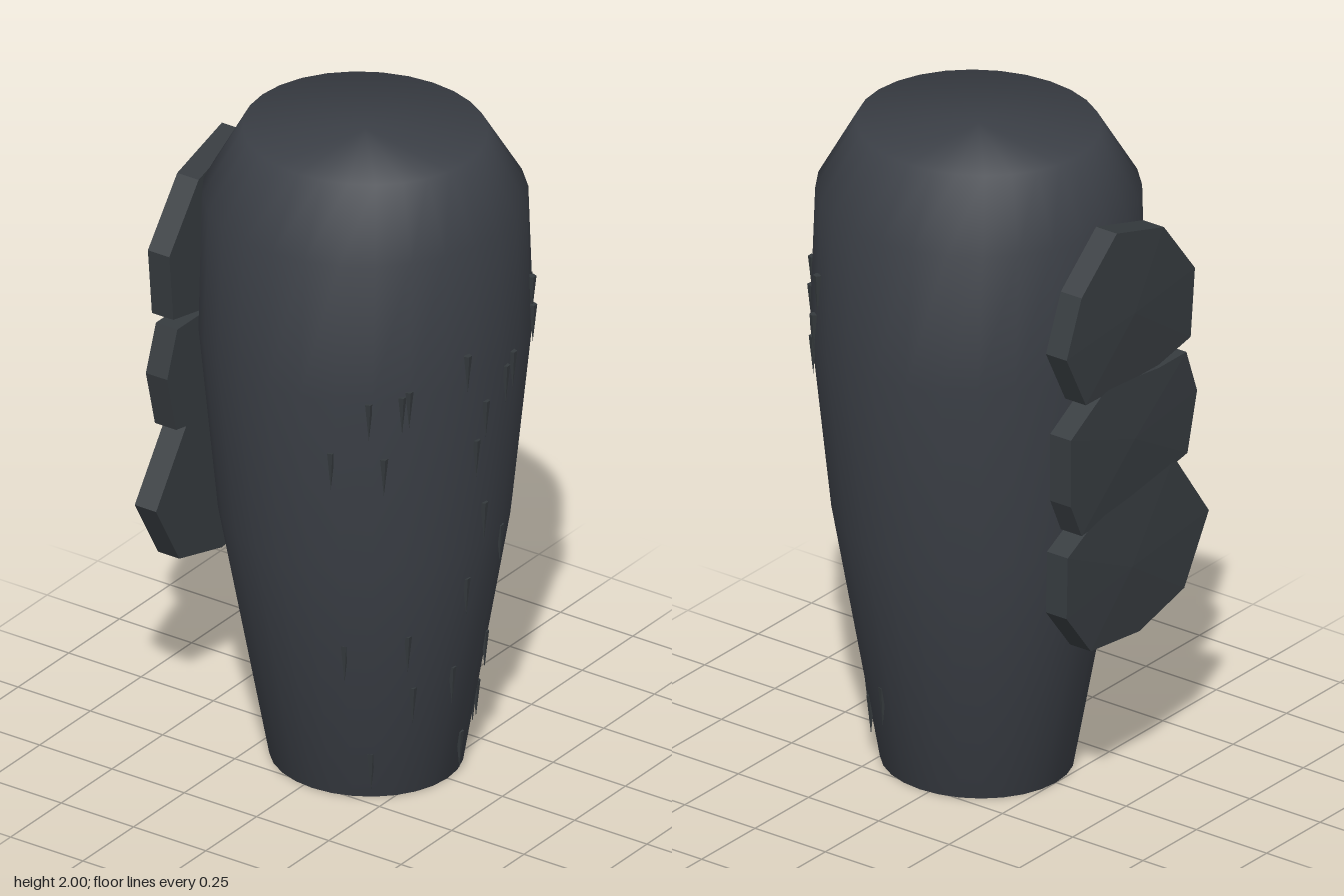
import * as THREE from 'three';

const bodyMat = new THREE.MeshStandardMaterial({ color: 0x3b3f46 });
bodyMat.name = 'charcoal';
const plateMat = new THREE.MeshStandardMaterial({ color: 0x363b3f });
plateMat.name = 'plate grey';
const spikeMat = new THREE.MeshStandardMaterial({ color: 0x34393c });
spikeMat.name = 'spike grey';

// Body cross-sections: height, half width, half depth, centre z
const rings = [
  [0, 0.268, 0.28, 0.03],
  [0.8, 0.422, 0.415, 0.025],
  [1.38, 0.49, 0.467, 0.028],
  [1.8, 0.462, 0.464, 0.025],
  [2, 0.335, 0.355, 0.025],
];

function geometryFrom(positions, index) {
  const g = new THREE.BufferGeometry();
  g.setAttribute('position', new THREE.Float32BufferAttribute(positions, 3));
  g.setIndex(index);
  return g;
}

// Smooth tapered shell with closed ends
function bodyGeometry(n = 28) {
  const pos = [], idx = [];
  for (const [y, rx, rz, cz] of rings) {
    for (let i = 0; i < n; i++) {
      const t = ((i + 0.0) / n) * Math.PI * 2;
      pos.push(rx * Math.sin(t), y, cz + rz * Math.cos(t));
    }
  }
  const last = (rings.length - 1) * n;
  const low = rings.length * n, high = low + 1;
  pos.push(0, 0, 0.03, 0, 2, 0.025);
  for (let i = 0; i < n; i++) {
    const k = (i + 1) % n;
    for (let j = 0; j < last; j += n) {
      idx.push(j + i, j + k, j + n + k, j + i, j + n + k, j + n + i);
    }
    idx.push(low, k, i, high, last + i, last + k);
  }
  const g = geometryFrom(pos, idx);
  g.computeVertexNormals();
  return g;
}

// Flat-sided slab with a very shallow raised centre on its back
function plateGeometry(outline) {
  const n = outline.length, pos = [], idx = [];
  let cx = 0, cy = 0;
  for (const [x, y] of outline) {
    pos.push(x, y, -0.435, x, y, -0.509);
    cx += x / n;
    cy += y / n;
  }
  pos.push(cx, cy, -0.435, cx, cy, -0.52);
  for (let i = 0; i < n; i++) {
    const a = i * 2, b = ((i + 1) % n) * 2;
    idx.push(n * 2, a, b, n * 2 + 1, b + 1, a + 1);
    idx.push(a, a + 1, b + 1, a, b + 1, b);
  }
  const g = geometryFrom(pos, idx).toNonIndexed();
  g.computeVertexNormals();
  return g;
}

// Depth of the body's front surface at a given x and y
function frontZ(x, y) {
  let j = 0;
  while (j < rings.length - 2 && y > rings[j + 1][0]) j++;
  const [a, b] = [rings[j], rings[j + 1]];
  const t = (y - a[0]) / (b[0] - a[0]);
  const [rx, rz, cz] = [1, 2, 3].map((k) => THREE.MathUtils.lerp(a[k], b[k], t));
  return cz + rz * Math.sqrt(Math.max(0, 1 - (x / rx) ** 2));
}

// Irregular back plates, from top to bottom
const plates = {
  upperBackPlate: [[0.29, 1.52], [0.22, 1.69], [0.055, 1.83], [-0.165, 1.765],
    [-0.31, 1.58], [-0.29, 1.37], [-0.14, 1.34], [0.2, 1.345]],
  middleBackPlate: [[0.27, 1.26], [0.1, 1.36], [-0.14, 1.33], [-0.27, 1.33],
    [-0.32, 1.19], [-0.275, 1.01], [0, 0.96], [0.22, 0.94], [0.27, 1.05]],
  lowerBackPlate: [[0.285, 0.895], [0.12, 0.98], [-0.213, 1.02], [-0.375, 0.79],
    [-0.26, 0.59], [-0.05, 0.535], [0.177, 0.56], [0.29, 0.705]],
};

// Spikes on the front: x and the height of the wide end
const spikes = [
  [-0.385, 1.37], [-0.305, 1.4], [-0.32, 1.385], [-0.14, 1.47], [0.235, 1.55],
  [0.39, 1.59], [0.385, 1.46], [0.235, 1.46], [0.35, 1.37], [0.03, 1.37],
  [0.065, 1.4], [-0.055, 1.29], [-0.08, 1.17], [-0.34, 1.18], [-0.425, 1.2],
  [-0.02, 0.94], [0.095, 0.81], [-0.055, 0.7], [-0.215, 0.555], [-0.325, 0.53],
  [-0.055, 0.4], [-0.175, 0.37], [0.13, 0.43], [0.15, 0.25], [0.295, 0.3],
  [0.21, 0.21], [0.195, 0.2], [0.04, 0.14], [-0.23, 0.15],
];

export function createModel() {
  const model = new THREE.Group();
  model.name = 'armouredLimb';
  const add = (parent, name, geometry, material) => {
    const mesh = new THREE.Mesh(geometry, material);
    mesh.name = name;
    parent.add(mesh);
    return mesh;
  };

  add(model, 'body', bodyGeometry(), bodyMat);

  for (const [name, outline] of Object.entries(plates)) {
    add(model, name, plateGeometry(outline), plateMat);
  }

  // Five-sided spikes pointing down
  const spikeGroup = new THREE.Group();
  spikeGroup.name = 'frontSpikes';
  model.add(spikeGroup);
  const cone = new THREE.ConeGeometry(0.013, 0.12, 5).rotateX(Math.PI).toNonIndexed();
  cone.computeVertexNormals();
  for (const [x, top] of spikes) {
    const y = top - 0.06;
    add(spikeGroup, 'spike', cone, spikeMat).position.set(x, y, frontZ(x, y) + 0.003);
  }
  return model;
}
